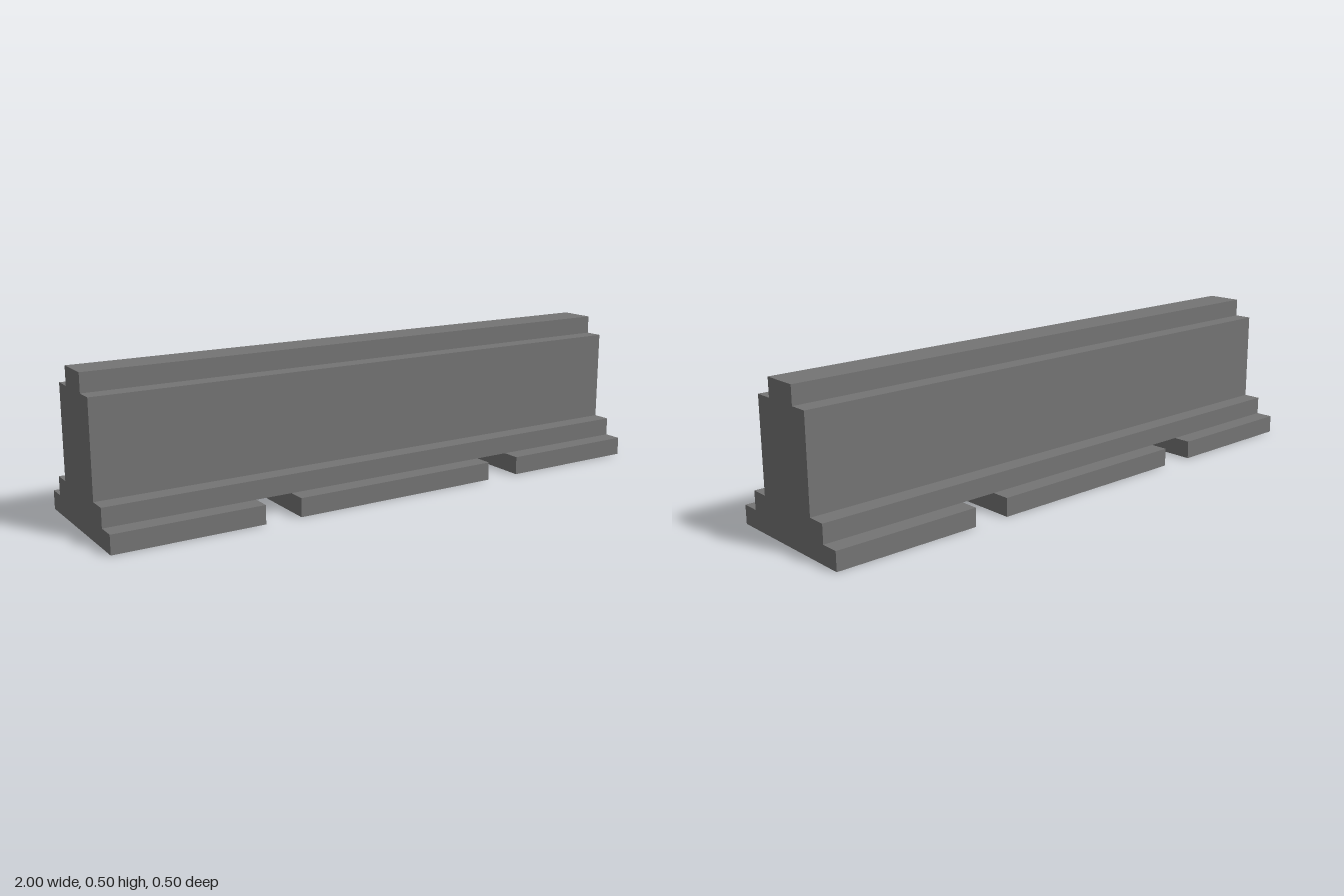
import * as THREE from 'three';

export function createModel() {
  const group = new THREE.Group();
  group.name = 'concreteBarrier';
  const concrete = new THREE.MeshStandardMaterial({ color: 0x747474 });
  concrete.name = 'concrete grey';

  // Stepped wall: half profile (half depth, height), mirrored and extruded along x
  const half = [
    [0.1875, 0.0625], [0.1875, 0.125], [0.125, 0.125],
    [0.125, 0.4375], [0.0625, 0.4375], [0.0625, 0.5],
  ];
  const mirrored = half.map(([d, y]) => [-d, y]).reverse();
  const profile = new THREE.Shape([...half, ...mirrored].map(([d, y]) => new THREE.Vector2(d, y)));
  const wallGeometry = new THREE.ExtrudeGeometry(profile, { depth: 2, bevelEnabled: false });
  wallGeometry.translate(0, 0, -1).rotateY(Math.PI / 2);
  const wall = new THREE.Mesh(wallGeometry, concrete);
  wall.name = 'steppedWall';
  group.add(wall);

  // Three foot slabs, with open slots between them
  const feet = [['rightFoot', -1, -0.5], ['middleFoot', -0.375, 0.375], ['leftFoot', 0.5, 1]];
  for (const [name, x0, x1] of feet) {
    const foot = new THREE.Mesh(new THREE.BoxGeometry(x1 - x0, 0.0625, 0.5), concrete);
    foot.name = name;
    foot.position.set((x0 + x1) / 2, 0.03125, 0);
    group.add(foot);
  }
  return group;
}
